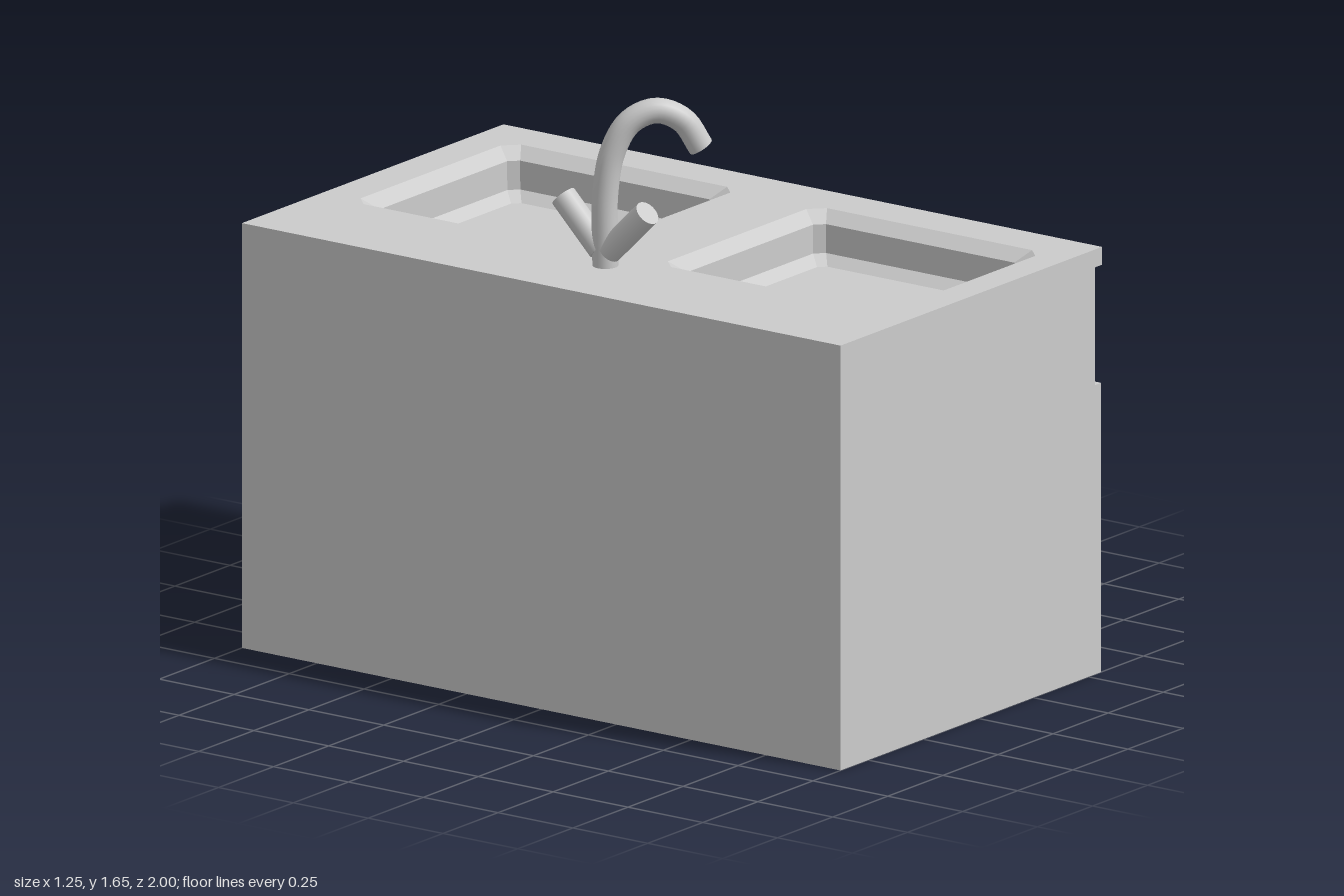
import * as THREE from 'three';

const material = new THREE.MeshStandardMaterial({ color: 0xcccccc });

function add(parent, name, geometry, x = 0, y = 0, z = 0) {
  const mesh = new THREE.Mesh(geometry, material);
  mesh.name = name;
  mesh.position.set(x, y, z);
  parent.add(mesh);
  return mesh;
}

// Box given by its limits on each axis
function addBox(parent, name, [x0, x1], [y0, y1], [z0, z1]) {
  return add(parent, name, new THREE.BoxGeometry(x1 - x0, y1 - y0, z1 - z0),
    (x0 + x1) / 2, (y0 + y1) / 2, (z0 + z1) / 2);
}

// Rectangle with cut corners, as [x, z] pairs
function cutRect([x0, x1, z0, z1], cut) {
  return [
    [x0, z0 + cut], [x0 + cut, z0], [x1 - cut, z0], [x1, z0 + cut],
    [x1, z1 - cut], [x1 - cut, z1], [x0 + cut, z1], [x0, z1 - cut],
  ];
}

const toPoints = (ring) => ring.map(([x, z]) => new THREE.Vector2(x, -z));

// Sink bowl: sloped rim, upright wall, sloped foot and flat floor
function basinGeometry([x0, x1, z0, z1]) {
  const levels = [
    [0, 0.04, 1.19], [0.043, 0.025, 1.16], [0.045, 0.025, 1.08], [0.08, 0.02, 1.055],
  ];
  const rings = levels.map(([inset, cut, y]) =>
    cutRect([x0 + inset, x1 - inset, z0 + inset, z1 - inset], cut).map(([x, z]) => [x, y, z]));
  const pos = [];
  for (let r = 0; r < rings.length - 1; r++) {
    const a = rings[r], b = rings[r + 1];
    for (let i = 0; i < 8; i++) {
      const j = (i + 1) % 8;
      pos.push(...a[i], ...b[i], ...b[j], ...a[i], ...b[j], ...a[j]);
    }
  }
  const floor = rings[rings.length - 1];
  const centre = [(x0 + x1) / 2, floor[0][1], (z0 + z1) / 2];
  for (let i = 0; i < 8; i++) pos.push(...centre, ...floor[(i + 1) % 8], ...floor[i]);
  const geometry = new THREE.BufferGeometry();
  geometry.setAttribute('position', new THREE.Float32BufferAttribute(pos, 3));
  geometry.computeVertexNormals();
  return geometry;
}

// Recessed band under the counter, pinched in at one end, open on top
function bandGeometry() {
  const geometry = new THREE.BoxGeometry(1.155, 0.33, 2, 1, 3, 1);
  geometry.translate(-0.0475, 0.975, 0);
  const p = geometry.attributes.position;
  for (let i = 0; i < p.count; i++) {
    const y = p.getY(i);
    if (y < 0.85 || y > 1.1) continue;
    p.setY(i, y < 0.975 ? 0.85 : 1.1);
    if (p.getX(i) > 0 && p.getZ(i) < 0) {
      p.setX(i, 0.515);
      p.setZ(i, -0.98);
    }
  }
  const top = geometry.groups[2];
  const index = Array.from(geometry.index.array);
  index.splice(top.start, top.count);
  geometry.setIndex(index);
  geometry.clearGroups();
  geometry.computeVertexNormals();
  return geometry;
}

// Swan-neck spout with round end cap, and two slanted taps
function createFaucet() {
  const faucet = new THREE.Group();
  faucet.name = 'faucet';
  faucet.position.set(-0.375, 1.19, 0.03);
  const path = [[0, 0], [0, 0.2], [0.02, 0.32], [0.065, 0.4], [0.135, 0.43], [0.205, 0.4], [0.252, 0.325]];
  const curve = new THREE.CatmullRomCurve3(
    path.map(([s, y]) => new THREE.Vector3(s * 0.69, y, s * 0.76)));
  add(faucet, 'spout', new THREE.TubeGeometry(curve, 40, 0.035, 20));
  const end = curve.getPoint(1);
  const cap = add(faucet, 'spoutEnd', new THREE.CircleGeometry(0.035, 20), end.x, end.y, end.z);
  cap.quaternion.setFromUnitVectors(new THREE.Vector3(0, 0, 1), curve.getTangent(1));
  for (const side of [-1, 1]) {
    const tap = add(faucet, side > 0 ? 'leftTap' : 'rightTap',
      new THREE.CylinderGeometry(0.036, 0.036, 0.18, 20), 0, 0.107, side * 0.077);
    tap.rotation.x = side * Math.PI / 4;
  }
  return faucet;
}

export function createModel() {
  const model = new THREE.Group();
  model.name = 'sinkCabinet';

  // Cabinet
  addBox(model, 'carcass', [-0.625, 0.53], [0, 0.81], [-1, 1]);
  add(model, 'recessedBand', bandGeometry());

  // Doors with bar handles
  const doors = [['leftDoor', [0.065, 1], [0.14, 0.225]], ['rightDoor', [-1, 0.015], [-0.185, -0.1]]];
  for (const [name, width, handle] of doors) {
    addBox(model, name, [0.53, 0.558], [0, 0.81], width);
    addBox(model, name + 'Handle', [0.55, 0.622], [0.3, 0.72], handle);
  }

  // Countertop with two sink openings
  const basins = [[-0.283, 0.432, -0.885, -0.117], [-0.283, 0.425, 0.142, 0.907]];
  const counter = new THREE.Shape(toPoints([[-0.625, -1], [0.562, -1], [0.562, 1], [-0.625, 1]]));
  for (const b of basins) counter.holes.push(new THREE.Path(toPoints(cutRect(b, 0.04))));
  const slab = new THREE.ExtrudeGeometry(counter, { depth: 0.05, bevelEnabled: false });
  slab.rotateX(-Math.PI / 2);
  add(model, 'countertop', slab, 0, 1.14, 0);
  basins.forEach((b, i) => add(model, i ? 'leftBasin' : 'rightBasin', basinGeometry(b)));

  model.add(createFaucet());
  return model;
}
